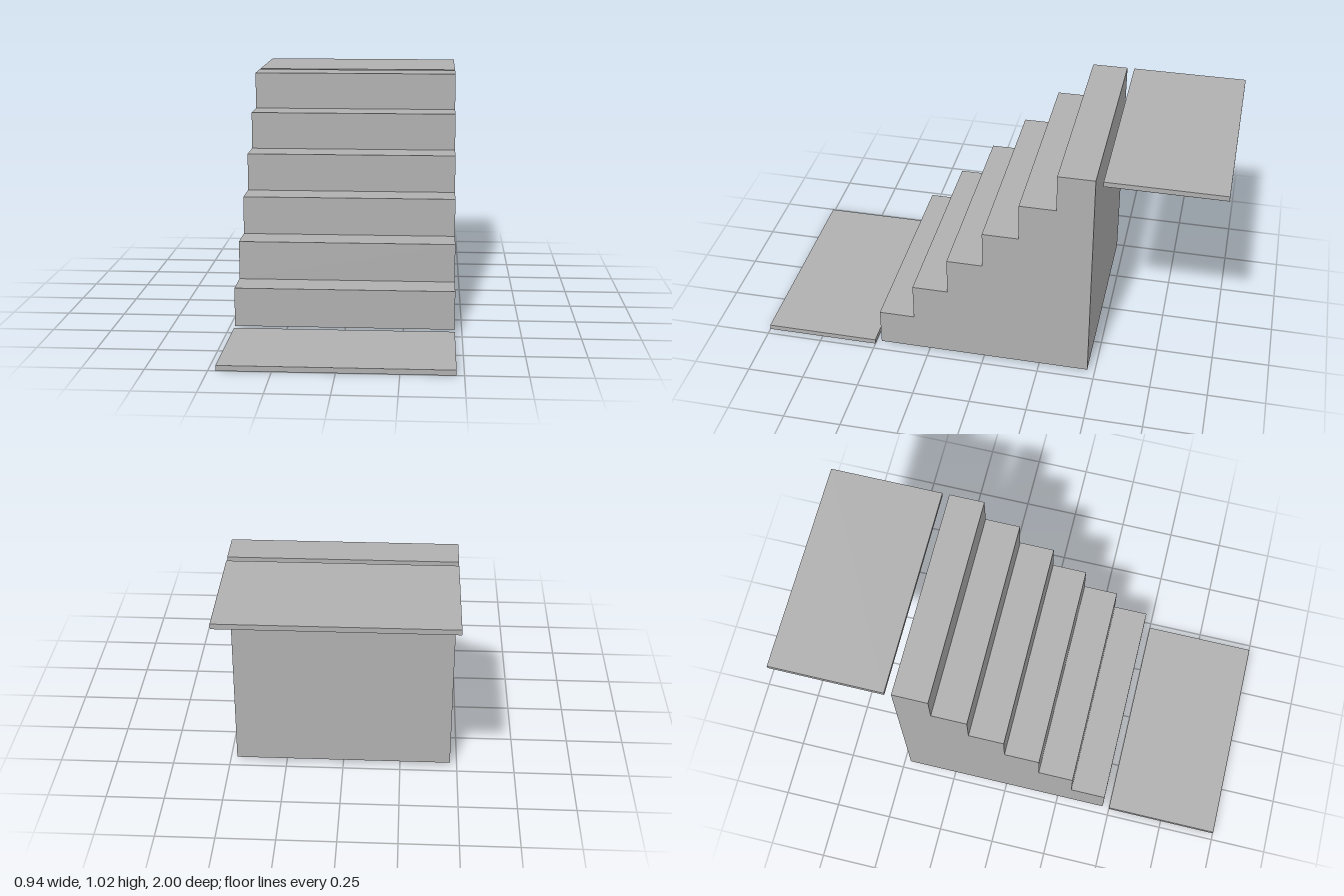
import * as THREE from 'three';

const WIDTH = 0.938;
const HALF_RUN = 0.469;
const SLAB = 0.022;
const STEPS = 6;

export function createModel() {
  const group = new THREE.Group();
  const grey = new THREE.MeshStandardMaterial({ color: 0xb0b0b0 });
  grey.name = 'concrete grey';

  // Solid staircase: side profile (z, y) extruded across the width
  const tread = (2 * HALF_RUN) / STEPS;
  const rise = 1 / STEPS;
  const profile = new THREE.Shape();
  profile.moveTo(-HALF_RUN, SLAB);
  profile.lineTo(HALF_RUN, SLAB);
  for (let i = 0; i < STEPS; i++) {
    const y = SLAB + (i + 1) * rise;
    profile.lineTo(HALF_RUN - i * tread, y);
    profile.lineTo(HALF_RUN - (i + 1) * tread, y);
  }
  profile.closePath();
  const stairGeometry = new THREE.ExtrudeGeometry(profile, { depth: WIDTH, bevelEnabled: false });
  stairGeometry.translate(0, 0, -WIDTH / 2).rotateY(-Math.PI / 2);
  const stairs = new THREE.Mesh(stairGeometry, grey);
  stairs.name = 'staircase';
  group.add(stairs);

  // Thin landings at the foot and the head of the stairs
  const addLanding = (name, bottom, z) => {
    const landing = new THREE.Mesh(new THREE.BoxGeometry(WIDTH, SLAB, 0.5), grey);
    landing.name = name;
    landing.position.set(0, bottom + SLAB / 2, z);
    group.add(landing);
  };
  addLanding('lowerLanding', 0, 0.75);
  addLanding('upperLanding', 1, -0.75);

  return group;
}
